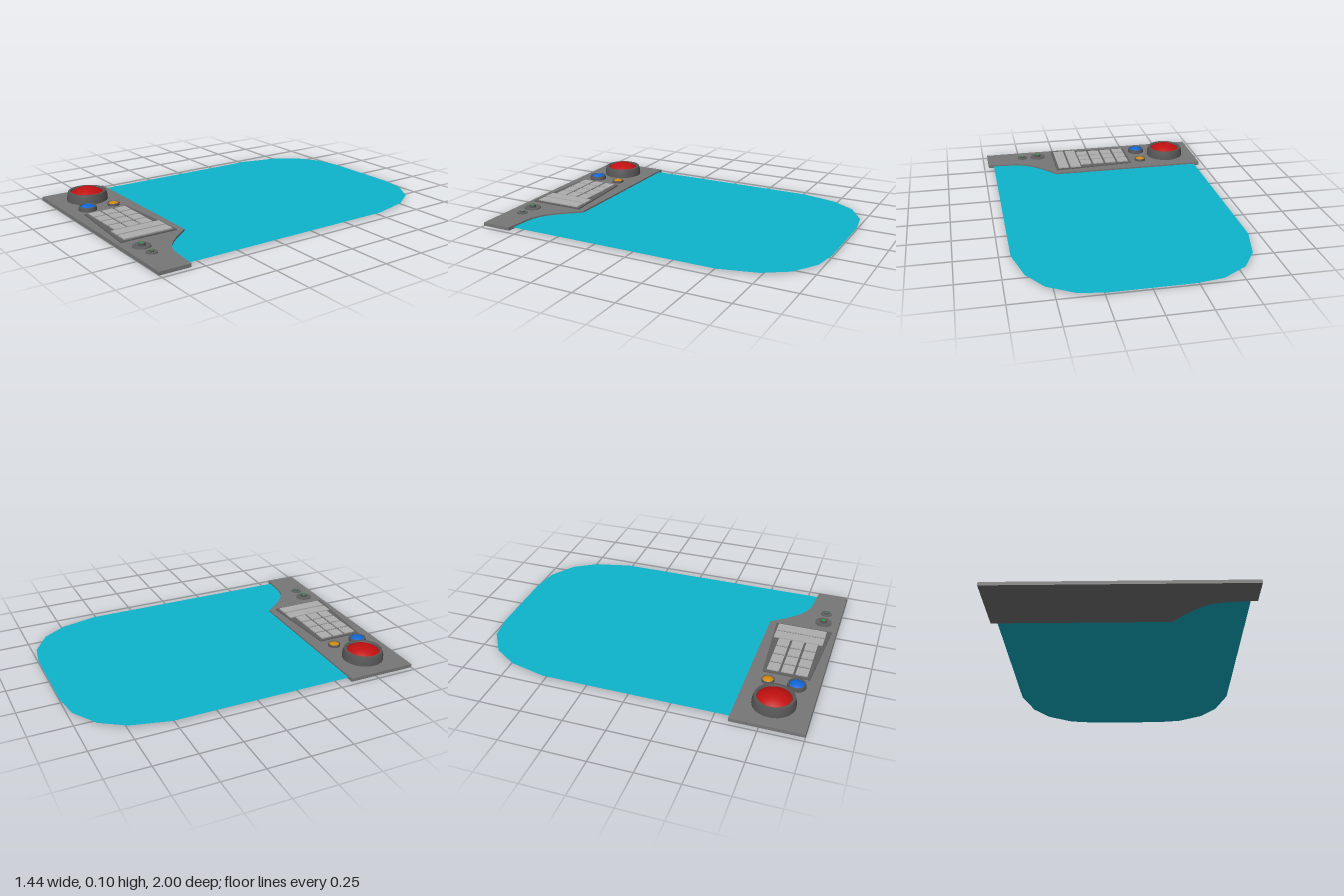
import * as THREE from 'three';

const mat = (color, flat = false) =>
  new THREE.MeshStandardMaterial({ color, flatShading: flat, side: THREE.DoubleSide });

const PANEL = mat(0x777777, true), DARK = mat(0x585858), PLATE = mat(0x606060, true), KEY = mat(0xaeaeae, true);
const RED = mat(0xc01010), BLUE = mat(0x0f66d8), ORANGE = mat(0xd08a10), GREEN = mat(0x2f9a4a);
const SCREEN = mat(0x0db4cc, true);

function add(parent, name, geometry, material, x = 0, y = 0, z = 0) {
  const mesh = new THREE.Mesh(geometry, material);
  mesh.name = name;
  mesh.position.set(x, y, z);
  parent.add(mesh);
  return mesh;
}

// Extrudes an (x, z) outline upwards from y0 to y1
function slab(shape, y0, y1) {
  return new THREE.ExtrudeGeometry(shape, { depth: y1 - y0, bevelEnabled: false, curveSegments: 8 })
    .rotateX(Math.PI / 2).translate(0, y1, 0);
}

// Lathe from [radius, y] pairs, with doubled points for sharp edges
function lathe(profile, segments = 32) {
  return new THREE.LatheGeometry(profile.map(p => new THREE.Vector2(...p)), segments);
}

// Shallow spherical cap of given rim radius and height
function dome(radius, height) {
  const points = [];
  const R = (radius * radius + height * height) / (2 * height);
  for (let i = 0; i <= 6; i++) {
    const r = radius * (1 - i / 6);
    points.push([r, Math.sqrt(R * R - r * r) - R + height]);
  }
  return lathe(points);
}

// Round housing with a recessed domed push button
function pushButton(name, x, z, r, top, inner, domeTop, domeBase, color) {
  const g = new THREE.Group();
  g.name = name;
  const rim = r * 0.93, lip = inner * 1.04;
  add(g, name + 'Housing', lathe([
    [r, 0.018], [r * 0.985, 0.02 + (top - 0.02) * 0.5], [rim, top], [rim, top],
    [lip, top], [lip, top], [inner, domeBase]]), DARK);
  add(g, name + 'Cap', dome(inner, domeTop - domeBase), color, 0, domeBase, 0);
  g.position.set(x, 0, z);
  return g;
}

// Stepped disc with a small indicator in the middle
function socket(name, x, z, r, discTop, inner, top) {
  const g = new THREE.Group();
  g.name = name;
  add(g, name + 'Disc', new THREE.CylinderGeometry(r * 0.97, r, discTop - 0.018, 24), PLATE, 0, (discTop + 0.018) / 2, 0);
  add(g, name + 'Collar', new THREE.CylinderGeometry(inner, inner, top - discTop, 20), DARK, 0, (top + discTop) / 2, 0);
  add(g, name + 'Light', new THREE.CylinderGeometry(inner * 0.6, inner * 0.6, 0.002, 16), GREEN, 0, top, 0);
  g.position.set(x, 0, z);
  return g;
}

export function createModel() {
  const model = new THREE.Group();
  model.name = 'controlPanel';

  // Thin screen sheet with a faceted rounded far end
  const half = [[0.685, 0.85], [0.685, -0.515], [0.63, -0.74], [0.54, -0.88], [0.39, -0.975], [0.235, -1]];
  const outline = [...half, ...half.map(([x, z]) => [-x, z]).reverse()];
  const sheet = new THREE.ShapeGeometry(new THREE.Shape(outline.map(([x, z]) => new THREE.Vector2(x, -z))));
  add(model, 'screen', sheet.rotateX(-Math.PI / 2), SCREEN, 0, 0.01, 0);

  // Console slab with a curved cut-out at the right-hand end
  const base = new THREE.Shape();
  base.moveTo(-0.72, 1);
  base.lineTo(-0.72, 0.585);
  base.lineTo(0.28, 0.585);
  base.bezierCurveTo(0.36, 0.68, 0.43, 0.8, 0.57, 0.803);
  base.lineTo(0.72, 0.815);
  base.lineTo(0.72, 1);
  base.closePath();
  add(model, 'console', slab(base, 0, 0.02), PANEL);

  // Push buttons
  model.add(pushButton('largeButton', -0.522, 0.788, 0.123, 0.075, 0.096, 0.098, 0.066, RED));
  model.add(pushButton('mediumButton', -0.333, 0.875, 0.054, 0.045, 0.043, 0.053, 0.04, BLUE));
  model.add(pushButton('smallButton', -0.328, 0.71, 0.037, 0.035, 0.031, 0.041, 0.032, ORANGE));

  // Keypad: tapered plate, key grid and two long bars
  const keypad = new THREE.Group();
  keypad.name = 'keypad';
  const plate = new THREE.Shape([[-0.253, 0.662], [0.27, 0.627], [0.27, 0.972], [-0.253, 0.935]]
    .map(p => new THREE.Vector2(...p)));
  add(keypad, 'keypadPlate', slab(plate, 0.018, 0.026), PLATE);
  const keyGeometry = new THREE.BoxGeometry(0.072, 0.01, 0.07);
  for (let row = 0; row < 3; row++)
    for (let col = 0; col < 4; col++)
      add(keypad, 'key', keyGeometry, KEY, -0.198 + col * 0.0855, 0.028, 0.716 + row * 0.083);
  for (const x of [0.138, 0.22])
    add(keypad, 'barKey', new THREE.BoxGeometry(0.069, 0.01, 0.297), KEY, x, 0.028, 0.795);
  model.add(keypad);

  // Indicator sockets
  model.add(socket('largeSocket', 0.372, 0.903, 0.051, 0.026, 0.02, 0.04));
  model.add(socket('smallSocket', 0.478, 0.903, 0.033, 0.025, 0.013, 0.032));

  return model;
}
